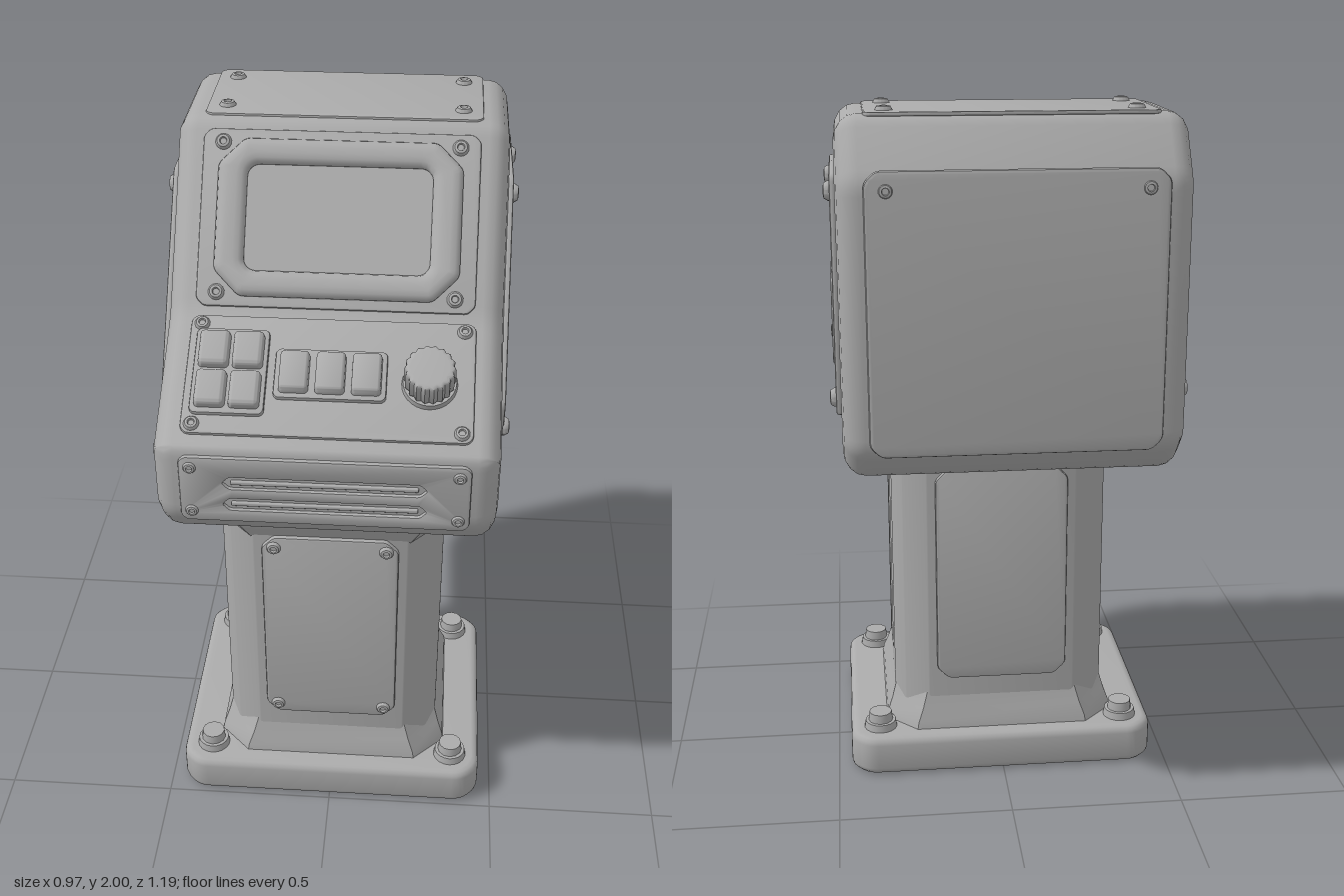
import * as THREE from 'three';
import { toCreasedNormals } from 'three/addons/utils/BufferGeometryUtils.js';
import { RoundedBoxGeometry } from 'three/addons/geometries/RoundedBoxGeometry.js';

const metal = new THREE.MeshStandardMaterial({ color: 0xababab });
metal.name = 'grey metal';

function add(parent, name, geometry, x = 0, y = 0, z = 0) {
  const mesh = new THREE.Mesh(geometry, metal);
  mesh.name = name;
  mesh.position.set(x, y, z);
  parent.add(mesh);
  return mesh;
}

// A group whose +z points out of a surface
function frame(parent, name, x, y, z, rx = 0, ry = 0) {
  const group = new THREE.Group();
  group.name = name;
  group.position.set(x, y, z);
  group.rotation.set(rx, ry, 0);
  parent.add(group);
  return group;
}

// Closed outline with softened corners
function softShape(points, r, Type = THREE.Shape) {
  const shape = new Type();
  const v = points.map(([x, y]) => new THREE.Vector2(x, y));
  v.forEach((p, i) => {
    const toward = q => p.clone().add(q.clone().sub(p).setLength(Math.min(r, p.distanceTo(q) * 0.45)));
    const a = toward(v[(i + v.length - 1) % v.length]);
    const b = toward(v[(i + 1) % v.length]);
    if (i === 0) shape.moveTo(a.x, a.y); else shape.lineTo(a.x, a.y);
    shape.quadraticCurveTo(p.x, p.y, b.x, b.y);
  });
  shape.closePath();
  return shape;
}

// Rectangle with cut corners
function cutRect(w, h, c) {
  const x = w / 2, y = h / 2;
  return [[-x + c, -y], [x - c, -y], [x, -y + c], [x, y - c], [x - c, y], [-x + c, y], [-x, y - c], [-x, -y + c]];
}

function slot(cx, cy, w, h) {
  const r = Math.min(w, h) * 0.45;
  return softShape(cutRect(w, h, r).map(([x, y]) => [x + cx, y + cy]), r * 0.5, THREE.Path);
}

// Extrusion from z = 0 to depth, its front and back edges bevelled inwards
function slab(shape, depth, bevel = 0.006, thick = bevel, segments = 2) {
  const g = new THREE.ExtrudeGeometry(shape, {
    depth: depth - 2 * thick, bevelEnabled: true, bevelSize: bevel, bevelOffset: -bevel,
    bevelThickness: thick, bevelSegments: segments, curveSegments: 4,
  });
  g.translate(0, 0, thick);
  return toCreasedNormals(g, 0.7);
}

const screwGeometry = toCreasedNormals(new THREE.LatheGeometry(
  [[0.026, -0.004], [0.026, 0.004], [0.02, 0.014], [0.012, 0.016], [0.01, 0.007], [0, 0.007]]
    .map(([x, y]) => new THREE.Vector2(x, y)), 14).rotateX(Math.PI / 2), 0.6);

function screws(parent, spots, z, scale = 1) {
  for (const [x, y] of spots) add(parent, 'screw', screwGeometry, x, y, z).scale.setScalar(scale);
}
const corners = (x, y) => [[-x, -y], [x, -y], [x, y], [-x, y]];

// Eight-sided collar through rings of [y, growth]
function collar(levels, halfX, halfZ) {
  const pos = [], index = [];
  for (const [y, grow] of levels)
    for (const [x, z] of cutRect(2 * (halfX + grow), 2 * (halfZ + grow), 0.09)) pos.push(x, y, z);
  for (let l = 0; l < levels.length - 1; l++)
    for (let i = 0; i < 8; i++) {
      const a = l * 8 + i, b = l * 8 + (i + 1) % 8;
      index.push(a, a + 8, b, b, a + 8, b + 8);
    }
  const g = new THREE.BufferGeometry();
  g.setAttribute('position', new THREE.Float32BufferAttribute(pos, 3));
  g.setIndex(index);
  return toCreasedNormals(g, 0.6);
}

function buildBase(root) {
  const base = frame(root, 'base', 0, 0, 0.11);
  add(base, 'basePlate', slab(softShape(cutRect(0.92, 0.76, 0.05), 0.03), 0.12, 0.022, 0.022, 3).rotateX(-Math.PI / 2));
  for (const [x, z] of corners(0.37, 0.29)) {
    add(base, 'anchorWasher', new THREE.CylinderGeometry(0.046, 0.05, 0.025, 18), x, 0.13, z);
    add(base, 'anchorBolt', toCreasedNormals(new THREE.CylinderGeometry(0.034, 0.038, 0.04, 12), 0.7), x, 0.15, z);
  }
}

function buildColumn(root) {
  const column = frame(root, 'column', 0, 0, 0.105);
  const X = 0.32, Z = 0.295, deep = 0.27;
  // Cross-section with a notch on each side; shape y runs towards the back
  const n0 = -0.125, n1 = 0.015;
  const outline = [[-0.22, -Z], [0.22, -Z], [0.29, -0.25], [X, -0.2], [X, n0], [deep, n0], [deep, n1], [X, n1],
    [X, 0.2], [0.29, 0.25], [0.22, Z], [-0.22, Z], [-0.29, 0.25], [-X, 0.2], [-X, n1], [-deep, n1], [-deep, n0],
    [-X, n0], [-X, -0.2], [-0.29, -0.25]];
  const post = new THREE.ExtrudeGeometry(softShape(outline, 0.008), { depth: 0.95, bevelEnabled: false, curveSegments: 3 });
  add(column, 'post', toCreasedNormals(post.rotateX(-Math.PI / 2), 0.6), 0, 0.1, 0);
  for (const s of [-1, 1]) {
    // Close the notch above and below the recess
    add(column, 'recessSill', new THREE.BoxGeometry(0.05, 0.15, 0.14), s * 0.295, 0.175, 0.055);
    add(column, 'recessHead', new THREE.BoxGeometry(0.05, 0.16, 0.14), s * 0.295, 0.97, 0.055);
    const plate = frame(column, s > 0 ? 'frontPlate' : 'backPlate', 0, 0.615, s * Z, 0, s > 0 ? 0 : Math.PI);
    add(plate, 'coverPlate', slab(softShape(cutRect(0.39, 0.67, 0.035), 0.012), 0.024, 0.006), 0, 0, -0.01);
    if (s > 0) screws(plate, corners(0.16, 0.3), 0.012, 0.8);
  }
  add(column, 'lowerCollar', collar([[0.11, 0.03], [0.14, 0.025], [0.18, 0.01], [0.23, -0.004]], X, Z));
  add(column, 'upperCollar', collar([[0.94, -0.004], [0.98, 0.015], [1.01, 0.03], [1.06, 0.035]], X, Z));
}

function buildHead(root) {
  const head = frame(root, 'head', 0, 0, 0);
  // Side profile as [z, y]
  const profile = [[0.577, 1.35], [0.577, 1.14], [0.51, 1.055], [0.43, 1.035], [-0.49, 1.035], [-0.577, 1.13],
    [-0.577, 1.83], [-0.47, 1.985], [-0.1, 1.985], [0.225, 1.565], [0.55, 1.365]];
  const body = slab(softShape(profile.map(([z, y]) => [-z, y]), 0.035), 0.91, 0.07, 0.06, 4);
  add(head, 'housing', body.translate(0, 0, -0.455).rotateY(Math.PI / 2));

  // Vented side panels
  for (const s of [-1, 1]) {
    const side = frame(head, s > 0 ? 'leftPanel' : 'rightPanel', s * 0.448, 0, 0, 0, s * Math.PI / 2);
    const flip = ([z, y]) => [-s * z, y];
    const panel = softShape([[0.31, 1.355], [-0.08, 1.845], [-0.435, 1.835], [-0.46, 1.2], [0.25, 1.21], [0.295, 1.28]].map(flip), 0.02);
    for (let i = 0; i < 4; i++) {
      const z = -0.075 - 0.08 * i;
      panel.holes.push(slot(-s * z, 1.435, 0.042, 0.23));
      const rim = softShape(cutRect(0.058, 0.25, 0.024), 0.01);
      rim.holes.push(slot(0, 0, 0.036, 0.226));
      add(side, 'ventRim', slab(rim, 0.026, 0.003), -s * z, 1.435, 0);
    }
    add(side, 'ventPanel', slab(panel, 0.021, 0.007), 0, 0, 0);
    screws(side, [[-0.1, 1.79], [-0.38, 1.785], [0.265, 1.26], [-0.41, 1.24]].map(flip), 0.021);
  }

  // Back and top panels
  const back = frame(head, 'backPanel', 0, 1.49, -0.57, 0, Math.PI);
  add(back, 'backCover', slab(softShape(cutRect(0.77, 0.74, 0.03), 0.015), 0.018, 0.008));
  screws(back, [[-0.33, 0.32], [0.33, 0.32]], 0.01, 0.8);
  const top = frame(head, 'topPanel', 0, 1.979, -0.295, -Math.PI / 2);
  add(top, 'topCover', slab(softShape(cutRect(0.76, 0.35, 0.015), 0.01), 0.011, 0.004));
  screws(top, corners(0.325, 0.11), 0.008, 0.9);

  // Front lower panel with two slots
  const front = frame(head, 'frontPanel', 0, 1.235, 0.57);
  const frontShape = softShape(cutRect(0.76, 0.2, 0.015), 0.008);
  for (const y of [0.022, -0.045]) {
    frontShape.holes.push(slot(0, y, 0.53, 0.036));
    add(front, 'slotBar', new RoundedBoxGeometry(0.49, 0.012, 0.012, 2, 0.004), 0, y, 0.01);
  }
  add(front, 'slotCover', slab(frontShape, 0.018, 0.005));
  screws(front, corners(0.35, 0.068), 0.014, 0.7);
  buildScreen(head);
  buildConsole(head);
}

function buildScreen(head) {
  const screen = frame(head, 'screenUnit', 0, 1.768, 0.068, -Math.atan2(0.325, 0.42));
  add(screen, 'screenPlate', slab(softShape(cutRect(0.75, 0.485, 0.02), 0.01), 0.018, 0.005), 0, 0, -0.008);
  screws(screen, corners(0.32, 0.205), 0.01, 0.85);
  const bezel = softShape(cutRect(0.66, 0.43, 0.07), 0.015);
  bezel.holes.push(softShape(cutRect(0.5, 0.29, 0.02), 0.015, THREE.Path));
  add(screen, 'bezel', slab(bezel, 0.045, 0.028, 0.02, 3), 0, 0, -0.008);
  add(screen, 'screenGlass', new THREE.BoxGeometry(0.52, 0.31, 0.008), 0, 0, 0.008);
}

function buildConsole(head) {
  const desk = frame(head, 'console', 0, 1.465, 0.388, -Math.atan2(0.325, 0.2));
  add(desk, 'consolePlate', slab(softShape(cutRect(0.76, 0.35, 0.015), 0.01), 0.018, 0.005), 0, 0, -0.008);
  screws(desk, corners(0.35, 0.148), 0.008, 0.8);

  // Tapered keys on low trays
  const key = (x, y, w, h) => {
    const g = new RoundedBoxGeometry(w, h, 0.05, 3, 0.012);
    const p = g.attributes.position;
    for (let i = 0; i < p.count; i++) {
      const k = 1 - 2 * Math.max(0, p.getZ(i) + 0.01);
      p.setXY(i, p.getX(i) * k, p.getY(i) * k);
    }
    g.computeVertexNormals();
    add(desk, 'key', toCreasedNormals(g, 0.8), x, y, 0.026);
  };
  add(desk, 'keypadTray', slab(softShape(cutRect(0.195, 0.25, 0.01), 0.006), 0.024, 0.005), -0.262, 0.003, 0);
  for (const x of [-0.307, -0.217]) for (const y of [-0.055, 0.061]) key(x, y, 0.083, 0.106);
  add(desk, 'keyRowTray', slab(softShape(cutRect(0.295, 0.145, 0.01), 0.006), 0.024, 0.005), 0.003, 0.002, 0);
  for (const x of [-0.092, 0.003, 0.098]) key(x, 0.002, 0.08, 0.12);

  // Fluted knob
  const knob = frame(desk, 'knob', 0.262, -0.01, 0);
  const grip = new THREE.Shape();
  for (let i = 0; i < 72; i++) {
    const a = i / 72 * Math.PI * 2, r = 0.064 + 0.003 * Math.cos(a * 18);
    if (i) grip.lineTo(r * Math.cos(a), r * Math.sin(a)); else grip.moveTo(r, 0);
  }
  add(knob, 'knobCollar', new THREE.CylinderGeometry(0.07, 0.074, 0.02, 28).rotateX(Math.PI / 2), 0, 0, 0.016);
  add(knob, 'knobGrip', slab(grip, 0.085, 0.01, 0.01, 3), 0, 0, 0.022);
}

export function createModel() {
  const root = new THREE.Group();
  root.name = 'kioskTerminal';
  buildBase(root);
  buildColumn(root);
  buildHead(root);
  return root;
}
